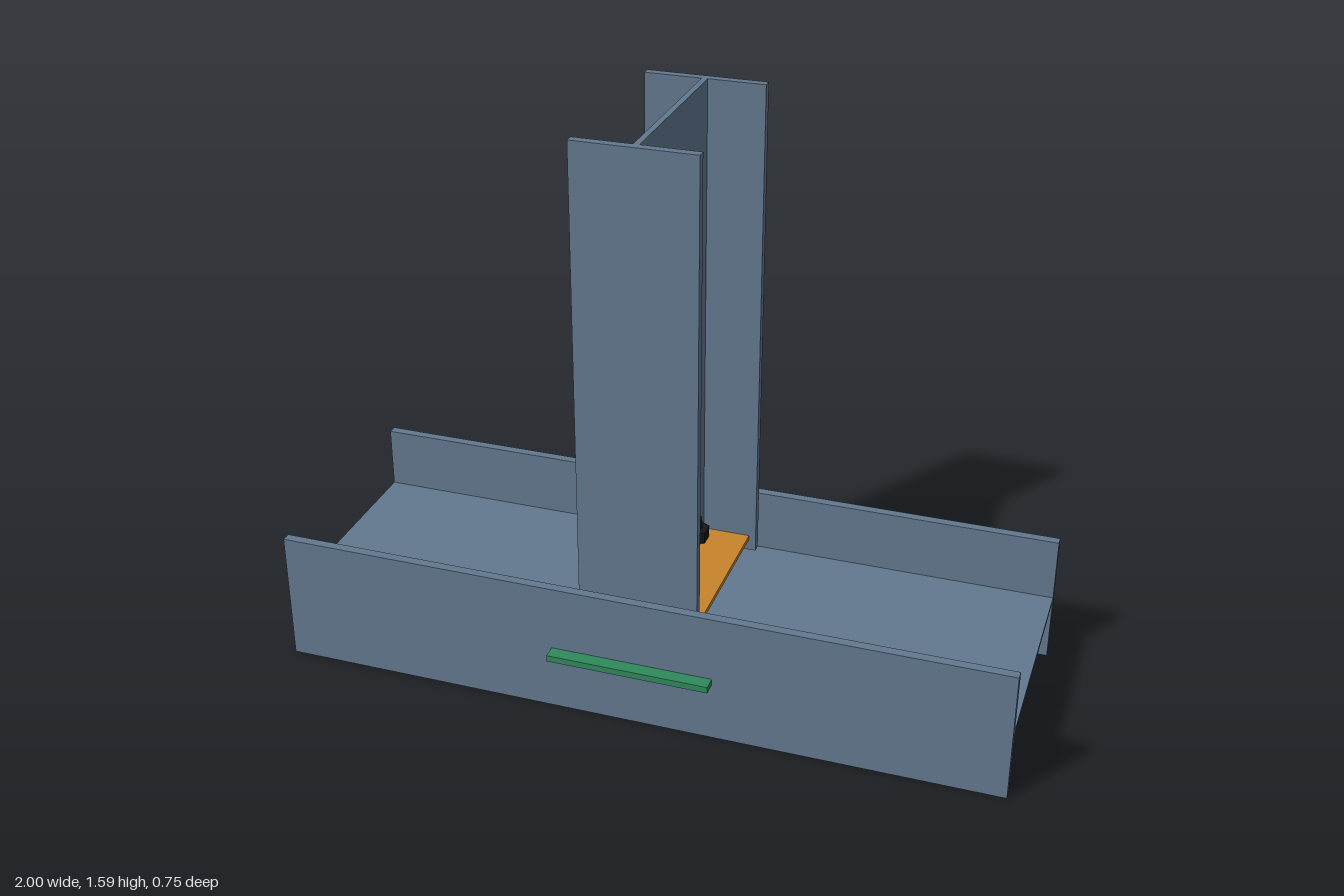
import * as THREE from 'three';

const steel = new THREE.MeshStandardMaterial({ color: 0x62788f });
const orange = new THREE.MeshStandardMaterial({ color: 0xc8842c });
const green = new THREE.MeshStandardMaterial({ color: 0x2f8a5c });
const black = new THREE.MeshStandardMaterial({ color: 0x15171a, flatShading: true });

// Box given by its extents, centred on x and z unless z is set
function plate(name, material, width, y0, y1, depth, z = 0) {
  const mesh = new THREE.Mesh(new THREE.BoxGeometry(width, y1 - y0, depth), material);
  mesh.position.set(0, (y0 + y1) / 2, z);
  mesh.name = name;
  return mesh;
}

function prism(name, radius, y0, y1, sides) {
  const mesh = new THREE.Mesh(new THREE.CylinderGeometry(radius, radius, y1 - y0, sides), black);
  mesh.position.y = (y0 + y1) / 2;
  mesh.name = name;
  return mesh;
}

function group(name, ...parts) {
  const g = new THREE.Group();
  g.name = name;
  g.add(...parts);
  return g;
}

export function createModel() {
  // Horizontal beam lying on its side: upright flanges, flat web
  const beam = group('beam',
    plate('beamWeb', steel, 2, 0.178, 0.192, 0.63),
    plate('beamFrontFlange', steel, 2, 0, 0.368, 0.026, 0.326),
    plate('beamBackFlange', steel, 2, 0, 0.368, 0.026, -0.326));

  // Upright I-section column
  const column = group('column',
    plate('columnWeb', steel, 0.016, 0.21, 1.585, 0.52),
    plate('columnFrontFlange', steel, 0.325, 0.21, 1.585, 0.024, 0.271),
    plate('columnBackFlange', steel, 0.325, 0.21, 1.585, 0.024, -0.271));

  // Connection plates
  const plates = group('connectionPlates',
    plate('basePlate', orange, 0.286, 0.242, 0.256, 0.63),
    plate('throughPlate', green, 0.444, 0.167, 0.185, 0.754));

  // Row of four bolts
  const bolts = group('bolts');
  for (let i = 0; i < 4; i++) {
    const bolt = group('bolt',
      prism('boltHead', 0.04, 0.19, 0.208, 6),
      prism('boltShank', 0.021, 0.19, 0.32, 16),
      prism('boltNut', 0.042, 0.235, 0.29, 6));
    bolt.position.z = (i - 1.5) * 0.1335;
    bolts.add(bolt);
  }

  return group('beamColumnJoint', beam, column, plates, bolts);
}
